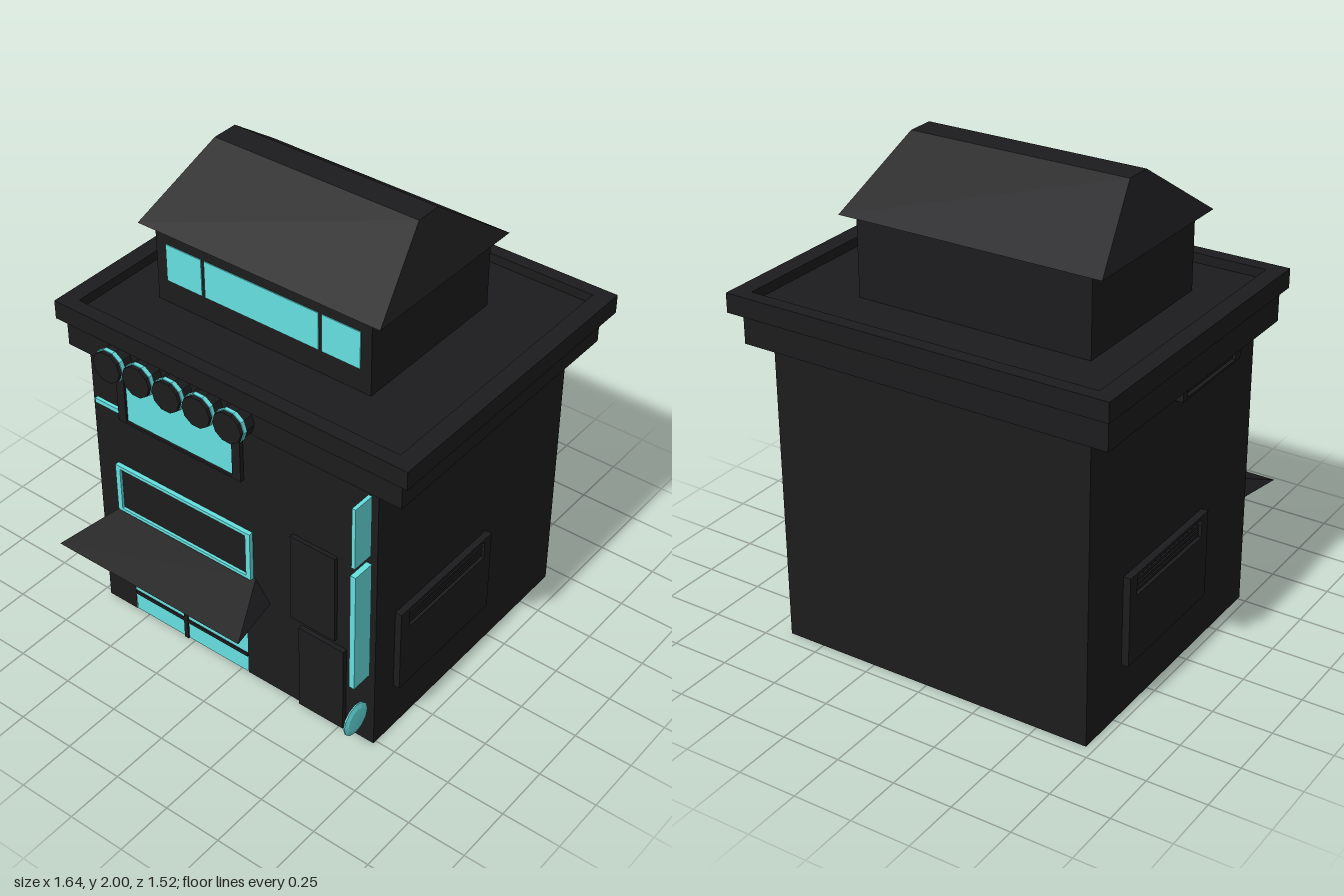
import * as THREE from 'three';

const dark = new THREE.MeshStandardMaterial({ color: 0x1c1c1e, flatShading: true });
const shell = new THREE.MeshStandardMaterial({ color: 0x1c1c1e, side: THREE.DoubleSide });
const glow = new THREE.MeshStandardMaterial({ color: 0x66e0e0, flatShading: true });

export function createModel() {
  const root = new THREE.Group();

  const add = (name, geometry, material = dark, parent = root) => {
    const mesh = new THREE.Mesh(geometry, material);
    mesh.name = name;
    parent.add(mesh);
    return mesh;
  };
  // box given by its extents on each axis
  const box = (name, [x0, x1], [y0, y1], [z0, z1], material = dark, parent = root) => {
    const g = new THREE.BoxGeometry(x1 - x0, y1 - y0, z1 - z0);
    g.translate((x0 + x1) / 2, (y0 + y1) / 2, (z0 + z1) / 2);
    return add(name, g, material, parent);
  };
  const path = (pts) => pts.map(([x, y]) => new THREE.Vector2(x, y));
  const rect = (x0, x1, y0, y1) => path([[x0, y0], [x1, y0], [x1, y1], [x0, y1]]);
  // rectangular frame in the xy plane, extruded along z
  const frame = (name, o, i, z0, z1, material = dark) => {
    const s = new THREE.Shape(rect(...o));
    s.holes.push(new THREE.Path(rect(...i).reverse()));
    const g = new THREE.ExtrudeGeometry(s, { depth: z1 - z0, bevelEnabled: false });
    g.translate(0, 0, z0);
    return add(name, g, material);
  };
  // flat-sided solid from quads and triangles, corners counter-clockwise
  const solid = (name, corners, faces) => {
    const pos = [];
    for (const f of faces)
      for (let k = 1; k < f.length - 1; k++)
        pos.push(...corners[f[0]], ...corners[f[k]], ...corners[f[k + 1]]);
    const g = new THREE.BufferGeometry();
    g.setAttribute('position', new THREE.Float32BufferAttribute(pos, 3));
    g.computeVertexNormals();
    return add(name, g, shell);
  };

  // walls: an open-bottomed shell with a doorway notch in the front
  const L = -0.715, R = 0.66, F = 0.515, B = -0.695, H = 1.27;
  const front = new THREE.Shape(path([[L, 0], [-0.565, 0], [-0.565, 0.445], [0.035, 0.445],
    [0.035, 0], [R, 0], [R, H], [L, H]]));
  add('frontWall', new THREE.ShapeGeometry(front), shell).position.z = F;
  const back = add('backWall', new THREE.PlaneGeometry(R - L, H), shell);
  back.position.set((L + R) / 2, H / 2, B);
  back.rotation.y = Math.PI;
  for (const [name, x, turn] of [['leftWall', R, 1], ['rightWall', L, -1]]) {
    const wall = add(name, new THREE.PlaneGeometry(F - B, H), shell);
    wall.position.set(x, H / 2, (F + B) / 2);
    wall.rotation.y = turn * Math.PI / 2;
  }

  // glazed double door
  box('doorGlass', [-0.565, 0.035], [0, 0.445], [0.5, 0.513], glow);
  box('doorMullion', [-0.3, -0.28], [0, 0.445], [0.494, 0.52]);
  for (const y of [0.095, 0.41]) box('doorRail', [-0.565, 0.035], [y - 0.008, y + 0.008], [0.494, 0.519]);

  // wedge awning over the door
  solid('awning', [
    [-0.725, 0.44, 0.76], [0.2, 0.44, 0.76], [0.155, 0.44, F], [-0.68, 0.44, F],
    [-0.61, 0.53, F], [0.085, 0.53, F],
  ], [[0, 1, 5, 4], [1, 2, 5], [3, 0, 4], [0, 3, 2, 1], [2, 3, 4, 5]]);

  // sign board with a lit border
  box('signBoard', [-0.6, 0.065], [0.535, 0.755], [F, 0.522]);
  frame('signBorder', [-0.61, 0.075, 0.53, 0.76], [-0.587, 0.052, 0.545, 0.745], F, 0.534, glow);

  // upper window and the small lit strip beside it
  frame('upperWindowFrame', [-0.57, 0.04, 1.0, 1.235], [-0.53, 0, 1.01, 1.22], F, 0.534);
  box('upperWindowGlass', [-0.53, 0], [1.01, 1.22], [F, 0.524], glow);
  box('lightStrip', [-0.695, -0.565], [1.025, 1.045], [F, 0.53], glow);

  // front wall panels
  box('lowerPanel', [0.31, 0.525], [0.01, 0.42], [F, 0.535]);
  box('upperPanel', [0.27, 0.48], [0.45, 0.86], [F, 0.532]);

  // row of ten-sided lamps with lit rims
  for (let i = 0; i < 5; i++) {
    const lamp = new THREE.Group();
    lamp.name = 'lamp';
    for (const [name, r, z0, z1, m] of [['lampDrum', 0.067, 0.53, 0.617, dark], ['lampRim', 0.071, 0.585, 0.602, glow]]) {
      const g = new THREE.CylinderGeometry(r, r, z1 - z0, 10, 1, false, Math.PI / 2);
      g.rotateX(Math.PI / 2).translate(0, 0, (z0 + z1) / 2);
      add(name, g, m, lamp);
    }
    lamp.position.set(-0.533 + i * 0.1465, 1.312, 0);
    root.add(lamp);
  }

  // projecting signs at the front left corner
  box('upperBladeSign', [0.627, 0.643], [0.97, 1.245], [0.532, 0.627], glow);
  box('lowerBladeSign', [0.623, 0.647], [0.375, 0.93], [0.532, 0.627], glow);
  const disc = new THREE.LatheGeometry(path([[0, -0.01], [0.05, -0.009], [0.072, -0.003],
    [0.072, 0.003], [0.05, 0.009], [0, 0.01]]), 12);
  disc.rotateZ(Math.PI / 2);
  add('roundSign', disc, glow).position.set(0.635, 0.19, 0.6);

  // side vents: a casing with a recessed slatted opening
  const vent = (side, [z0, z1], [y0, y1], [gz0, gz1], [gy0, gy1]) => {
    const wall = side > 0 ? R : L;
    const g = frame('ventCasing', [z0, z1, y0, y1], [gz0, gz1, gy0, gy1], 0, 0.03);
    // local x runs along world z
    g.geometry.rotateY(-Math.PI / 2);
    g.position.x = side > 0 ? wall + 0.03 : wall - 0.01;
    if (side > 0) g.position.x = wall + 0.028;
    else g.position.x = wall;
    const step = (gy1 - gy0) / 4;
    for (let i = 0; i < 4; i++) {
      const y = gy0 + (i + 0.5) * step;
      const a = wall + side * 0.002, b = wall + side * 0.018;
      box('ventSlat', [Math.min(a, b), Math.max(a, b)], [y - step * 0.3, y + step * 0.3], [gz0, gz1]);
    }
  };
  vent(1, [-0.195, 0.395], [0.22, 0.6], [-0.15, 0.34], [0.505, 0.585]);
  vent(1, [-0.385, 0.06], [1.165, 1.265], [-0.35, 0.02], [1.175, 1.25]);
  vent(-1, [-0.45, 0.14], [0.22, 0.6], [-0.4, 0.09], [0.505, 0.585]);
  vent(-1, [-0.1, 0.345], [1.165, 1.265], [-0.065, 0.305], [1.175, 1.25]);

  // stepped cornice with a parapet around a sunken flat roof
  box('lowerCornice', [-0.8, 0.775], [1.26, 1.39], [-0.725, 0.54]);
  box('flatRoof', [-0.822, 0.82], [1.39, 1.43], [-0.762, 0.575]);
  const parapet = frame('parapet', [-0.822, 0.82, -0.575, 0.762], [-0.75, 0.745, -0.515, 0.705], 0, 0.04);
  parapet.rotation.x = -Math.PI / 2;
  parapet.position.y = 1.43;

  // penthouse with a three-part window
  box('penthouse', [-0.567, 0.438], [1.43, 1.76], [-0.455, 0.272]);
  for (const [a, b] of [[-0.517, -0.346], [-0.331, 0.202], [0.217, 0.39]])
    box('penthouseWindow', [a, b], [1.53, 1.69], [0.265, 0.276], glow);

  // hipped roof with a flat top
  solid('hippedRoof', [
    [-0.625, 1.757, 0.304], [0.495, 1.757, 0.304], [0.495, 1.757, -0.488], [-0.625, 1.757, -0.488],
    [-0.53, 2, -0.035], [0.405, 2, -0.035], [0.405, 2, -0.15], [-0.53, 2, -0.15],
  ], [[0, 1, 5, 4], [1, 2, 6, 5], [2, 3, 7, 6], [3, 0, 4, 7], [4, 5, 6, 7], [3, 2, 1, 0]]);

  return root;
}
